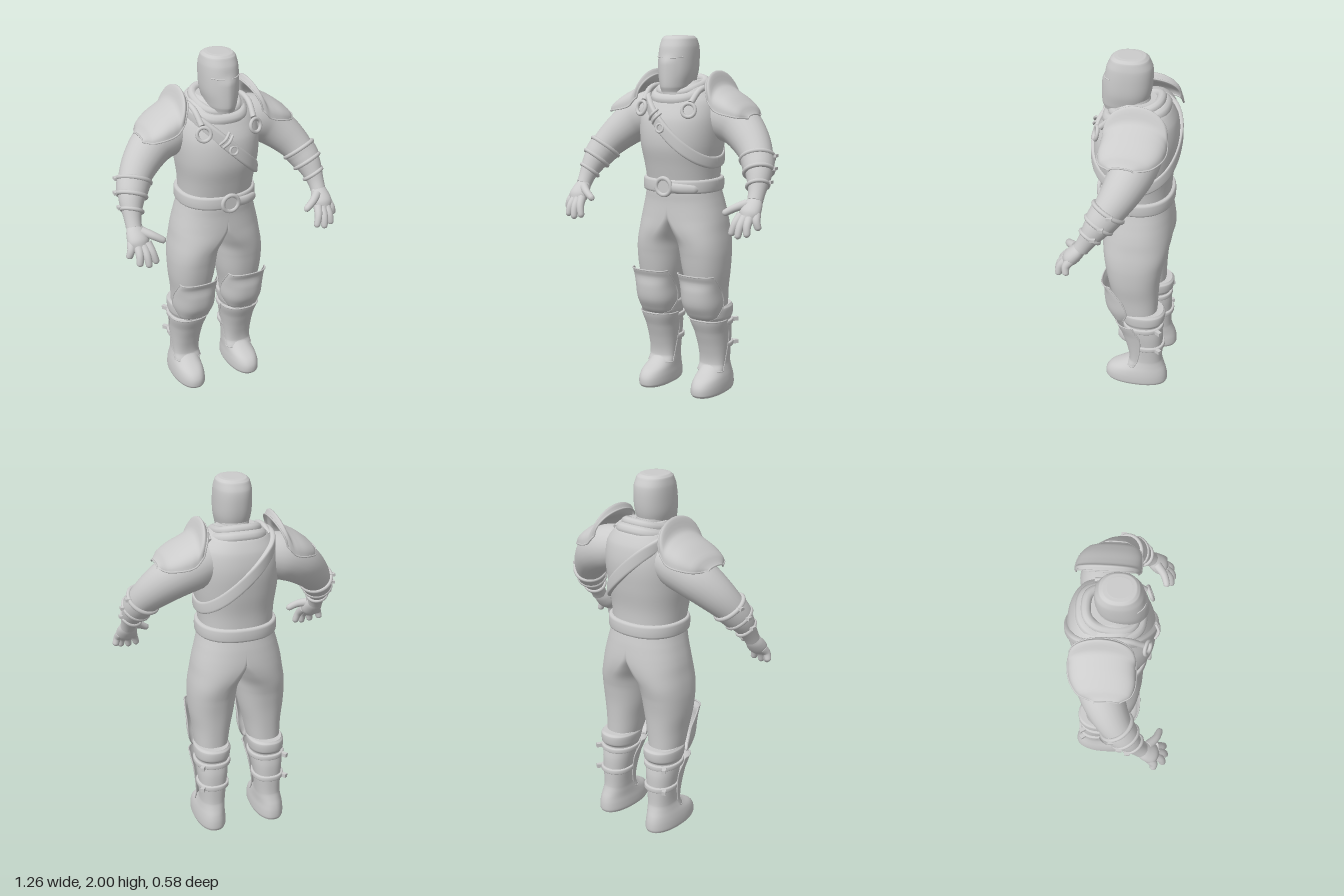
import * as THREE from 'three';

const V = (x, y, z) => new THREE.Vector3(x, y, z);
const pow = (c, e) => Math.sign(c) * Math.abs(c) ** e;
const grey = new THREE.MeshStandardMaterial({ color: 0xcccccc });
const thin = new THREE.MeshStandardMaterial({ color: 0xcccccc, side: THREE.DoubleSide });

// Smooth interpolation of a table of rows; the first column stays linear
function sample(rows, t) {
  const n = rows.length - 1, i = Math.min(Math.floor(t), n - 1), f = t - i;
  const [a, b, c, d] = [rows[Math.max(i - 1, 0)], rows[i], rows[i + 1], rows[Math.min(i + 2, n)]];
  return b.map((p, k) => {
    if (k === 0) return p + (c[0] - p) * f;
    const cubic = 3 * (p - c[k]) + d[k] - a[k];
    const square = 2 * a[k] - 5 * p + 4 * c[k] - d[k];
    return p + 0.5 * f * (c[k] - a[k] + f * (square + f * cubic));
  });
}

// Surface from fn(u, v); closed wraps around u, caps close both ends
function grid(fn, nu, nv, closed = true, caps = closed) {
  const pos = [], idx = [], w = closed ? nu : nu + 1;
  for (let j = 0; j <= nv; j++) for (let i = 0; i < w; i++) pos.push(...fn(i / nu, j / nv).toArray());
  for (let j = 0; j < nv; j++) for (let i = 0; i < nu; i++) {
    const a = j * w + i, b = j * w + (i + 1) % w;
    idx.push(a, a + w, b, b, a + w, b + w);
  }
  if (caps) for (const end of [0, 1]) {
    const s = pos.length / 3, mid = V(0, 0, 0);
    for (let i = 0; i < nu; i++) {
      const p = fn(i / nu, end);
      mid.addScaledVector(p, 1 / nu);
      pos.push(...p.toArray());
    }
    pos.push(...mid.toArray());
    for (let i = 0; i < nu; i++) {
      const k = (i + 1) % nu;
      idx.push(s + nu, s + (end ? k : i), s + (end ? i : k));
    }
  }
  const g = new THREE.BufferGeometry();
  g.setAttribute('position', new THREE.Float32BufferAttribute(pos, 3));
  g.setIndex(idx);
  g.computeVertexNormals();
  return g;
}

// Upright body; rows are [y, centreX, halfWidth, zFront, zBack, optional inner halfWidth]
function bodyPoint([y, cx, hw, zf, zb, inner = hw], a) {
  const c = pow(Math.cos(a), 0.88);
  return V(cx + (c > 0 ? hw : inner) * c, y, (zf + zb) / 2 + (zf - zb) / 2 * pow(Math.sin(a), 0.88));
}
const loft = rows => grid((u, v) => bodyPoint(sample(rows, v * (rows.length - 1)), u * Math.PI * 2), 48, (rows.length - 1) * 5);

// Tapered tube; points are [x, y, z, radius]
function limb(pts, flat = 1) {
  const curve = new THREE.CatmullRomCurve3(pts.map(p => V(p[0], p[1], p[2])));
  const nv = (pts.length - 1) * 6, f = curve.computeFrenetFrames(nv), radii = pts.map(p => [0, p[3]]);
  return grid((u, v) => {
    const k = Math.round(v * nv), t = curve.getUtoTmapping(v), r = sample(radii, t * (pts.length - 1))[1], a = u * Math.PI * 2;
    return curve.getPoint(t).addScaledVector(f.normals[k], r * Math.cos(a)).addScaledVector(f.binormals[k], -r * flat * Math.sin(a));
  }, 24, nv);
}

// Strap hugging a body, its height given as a rule of x
function band(rows, yOf, width, thick) {
  const at = a => {
    let y = yOf(0), p;
    for (let k = 0; k < 40; k++) {
      let i = 0;
      while (i < rows.length - 2 && rows[i + 1][0] < y) i++;
      const t = i + THREE.MathUtils.clamp((y - rows[i][0]) / (rows[i + 1][0] - rows[i][0]), 0, 1);
      p = bodyPoint(sample(rows, t), a);
      y += (yOf(p.x) - y) * 0.5;
    }
    return p;
  };
  return grid((u, v) => {
    const a = v * Math.PI * 2, p = at(a), c = u * Math.PI * 2;
    const T = at(a + 0.03).sub(at(a - 0.03)).normalize();
    const N = V(T.z, 0, -T.x).normalize();
    if (N.dot(V(Math.cos(a), 0, Math.sin(a))) < 0) N.negate();
    const B = T.clone().cross(N).normalize();
    return p.addScaledVector(N, thick * pow(Math.cos(c), 0.5)).addScaledVector(B, -width / 2 * pow(Math.sin(c), 0.5));
  }, 16, 96, true, false);
}

// Rolled edge around an open plate
function rim(fn, r) {
  const pts = [], n = 16;
  for (let i = 0; i < n; i++) pts.push(fn(i / n, 0));
  for (let i = 0; i < n; i++) pts.push(fn(1, i / n));
  for (let i = 0; i < n; i++) pts.push(fn(1 - i / n, 1));
  for (let i = 0; i < n; i++) pts.push(fn(0, 1 - i / n));
  return new THREE.TubeGeometry(new THREE.CatmullRomCurve3(pts, true), 160, r, 6, true);
}

function ringAt(p, dir, r, tube) {
  const g = new THREE.TorusGeometry(r, tube, 10, 32);
  g.applyQuaternion(new THREE.Quaternion().setFromUnitVectors(V(0, 0, 1), dir.clone().normalize()));
  return g.translate(p.x, p.y, p.z);
}

export function createModel() {
  const root = new THREE.Group();
  const add = (name, g, mat = grey) => {
    const m = new THREE.Mesh(g, mat);
    m.name = name;
    root.add(m);
  };
  const pair = (name, g, mat) => {
    add(name + 'Left', g, mat);
    const h = g.clone().scale(-1, 1, 1), ix = h.index.array;
    for (let i = 0; i < ix.length; i += 3) [ix[i], ix[i + 1]] = [ix[i + 1], ix[i]];
    add(name + 'Right', h, mat);
  };
  const plate = (name, fn, r) => {
    pair(name, grid(fn, 28, 24, false), thin);
    pair(name + 'Rim', rim(fn, r));
  };

  // Torso, neck and hood collar
  const torso = [[1.1, 0, 0.195, 0.11, -0.23], [1.18, 0, 0.2, 0.123, -0.24], [1.3, 0, 0.208, 0.15, -0.245], [1.42, 0, 0.225, 0.178, -0.265],
    [1.55, 0, 0.232, 0.17, -0.278], [1.65, 0, 0.215, 0.125, -0.265], [1.72, 0, 0.16, 0.075, -0.23], [1.76, 0, 0.1, 0.03, -0.18]];
  add('torso', loft(torso));
  add('neck', loft([[1.6, 0, 0.1, 0.08, -0.17], [1.7, 0, 0.085, 0.075, -0.14], [1.8, 0, 0.08, 0.07, -0.11]]));
  for (const [name, s, dy, r] of [['collarOuter', 1.06, -0.028, 0.034], ['collarInner', 0.9, 0.008, 0.026]]) {
    const pts = Array.from({ length: 16 }, (_, i) => {
      const a = i * Math.PI / 8;
      return V(0.12 * s * pow(Math.cos(a), 0.75), 1.72 + dy - 0.035 * Math.sin(a), -0.05 + 0.14 * s * pow(Math.sin(a), 0.75));
    });
    add(name, new THREE.TubeGeometry(new THREE.CatmullRomCurve3(pts, true), 64, r, 10, true));
  }

  // Helmet with a flat crown, nose ridge and eye slits
  const helm = [[1.7, 0, 0.07, 0.115, -0.08], [1.73, 0, 0.08, 0.125, -0.1], [1.8, 0, 0.096, 0.126, -0.123], [1.87, 0, 0.1, 0.122, -0.132],
    [1.94, 0, 0.098, 0.11, -0.13], [1.985, 0, 0.088, 0.09, -0.11], [1.998, 0, 0.074, 0.074, -0.092], [2, 0, 0.055, 0.052, -0.07]];
  add('helmet', grid((u, v) => {
    const p = bodyPoint(sample(helm, v * 7), u * Math.PI * 2);
    if (p.z > 0.03 && p.y < 1.9) p.z += 0.012 * Math.max(0, 1 - Math.abs(p.x) / 0.06) * Math.min(1, (1.9 - p.y) / 0.04);
    return p;
  }, 64, 42));
  pair('eyeSlit', limb([[0.022, 1.884, 0.12, 0.003], [0.05, 1.886, 0.111, 0.003], [0.08, 1.888, 0.081, 0.003]]));

  // Belt with round buckle and loose tail
  add('belt', band(torso, () => 1.193, 0.075, 0.022));
  add('buckleRing', ringAt(V(0, 1.193, 0.153), V(0, 0, 1), 0.046, 0.012));
  add('buckleDisc', new THREE.CylinderGeometry(0.04, 0.04, 0.02, 32).rotateX(Math.PI / 2).translate(0, 1.193, 0.145));
  add('beltTail', limb([[0.05, 1.19, 0.145, 0.026], [0.11, 1.186, 0.13, 0.026], [0.165, 1.182, 0.097, 0.022], [0.178, 1.181, 0.085, 0.008]], 0.6));

  // Diagonal sash with its clasp
  add('sash', band(torso, x => 1.52 - 0.95 * x, 0.065, 0.015));
  add('sashClasp', ringAt(V(0, 1.515, 0.19), V(0, 0.2, 1), 0.022, 0.007));
  for (const s of [-0.05, -0.03]) {
    add('sashLoop', limb([[s - 0.025, 1.505 - s, 0.175, 0.007], [s, 1.535 - s, 0.192, 0.008], [s + 0.03, 1.565 - s, 0.175, 0.007]]));
  }

  // Shoulder harness
  pair('harnessRing', ringAt(V(0.15, 1.613, 0.14), V(0.35, 0.25, 1), 0.036, 0.01));
  pair('harnessStrap', limb([[0.15, 1.65, 0.115, 0.016], [0.158, 1.71, 0.045, 0.016], [0.162, 1.725, -0.05, 0.016], [0.165, 1.7, -0.14, 0.016]]));

  // Shoulder plates: [x, top, bottom, halfDepth, centreZ]
  const pad = [[0.178, 1.785, 1.66, 0.16, -0.085], [0.2, 1.815, 1.645, 0.168, -0.083], [0.235, 1.745, 1.615, 0.17, -0.083], [0.28, 1.715, 1.6, 0.17, -0.08],
    [0.34, 1.682, 1.59, 0.16, -0.072], [0.4, 1.638, 1.58, 0.128, -0.062], [0.44, 1.592, 1.575, 0.06, -0.05]];
  plate('shoulderPlate', (u, v) => {
    const [x, top, low, rz, cz] = sample(pad, v * 6), a = u * Math.PI, s = Math.sin(a);
    return V(x + 0.05 * (1 - s) * (1 - v), low + (top - low) * s ** 0.75, cz + rz * Math.cos(a));
  }, 0.005);

  // Arms with bracer sleeve, edge bands and tabs
  const arm = [[0.13, 1.59, -0.1, 0.11], [0.24, 1.565, -0.1, 0.128], [0.335, 1.52, -0.09, 0.12], [0.425, 1.447, -0.05, 0.104],
    [0.49, 1.37, 0.0, 0.086], [0.53, 1.29, 0.055, 0.07], [0.548, 1.21, 0.105, 0.048], [0.553, 1.16, 0.135, 0.042]];
  pair('arm', limb(arm));
  const armRows = arm.map(p => [0, ...p]);
  const armAt = t => sample(armRows, t).slice(1);
  pair('bracer', limb([4.1, 4.35, 4.6, 4.85].map(t => {
    const [x, y, z, r] = armAt(t);
    return [x, y, z, r + 0.008];
  })));
  for (const [t, r, tube] of [[4.08, 0.088, 0.012], [4.85, 0.076, 0.012], [5.65, 0.056, 0.011]]) {
    const [x, y, z] = armAt(t);
    pair('bracerBand', ringAt(V(x, y, z), V(0.04, -0.085, 0.055), r, tube));
    pair('bracerTab', new THREE.BoxGeometry(0.03, 0.016, 0.03).translate(x + r, y + 0.02, z - 0.025));
  }

  // Hands
  pair('palm', limb([[0.552, 1.18, 0.125, 0.036], [0.552, 1.14, 0.155, 0.052], [0.55, 1.1, 0.19, 0.058], [0.548, 1.07, 0.212, 0.04]], 0.75));
  const fingers = [[0.512, 1.095, 0.21, 0.482, 1.0, 0.258], [0.535, 1.085, 0.215, 0.525, 0.99, 0.267],
    [0.562, 1.085, 0.21, 0.572, 1.0, 0.255], [0.588, 1.1, 0.185, 0.612, 1.03, 0.205], [0.525, 1.15, 0.17, 0.425, 1.1, 0.23]];
  for (const [x, y, z, X, Y, Z] of fingers) {
    pair('finger', limb([[x, y, z, 0.025], [(x + X) / 2, (y + Y) / 2 + 0.004, (z + Z) / 2 + 0.012, 0.021],
      [X, Y, Z, 0.017], [X + (X - x) * 0.08, Y + (Y - y) * 0.1, Z, 0.006]]));
  }

  // Legs, each opening upwards into one half of the hips
  pair('leg', loft([[0.4, 0.16, 0.075, -0.02, -0.2, 0.075], [0.5, 0.155, 0.092, 0.02, -0.2, 0.092], [0.6, 0.15, 0.105, 0.055, -0.203, 0.105],
    [0.7, 0.146, 0.123, 0.08, -0.21, 0.123], [0.8, 0.141, 0.132, 0.098, -0.225, 0.131], [0.87, 0.122, 0.146, 0.11, -0.242, 0.12],
    [0.94, 0.07, 0.187, 0.122, -0.258, 0.09], [1.01, 0.02, 0.226, 0.125, -0.264, 0.06], [1.1, 0, 0.224, 0.124, -0.256, 0.06],
    [1.17, 0, 0.206, 0.126, -0.243, 0.06], [1.2, 0, 0.19, 0.11, -0.23, 0.06]]));
  const boot = [[0, 0.175, 0.08, 0.085, -0.262], [0.015, 0.175, 0.086, 0.095, -0.268], [0.055, 0.175, 0.085, 0.092, -0.266], [0.09, 0.174, 0.08, 0.065, -0.258],
    [0.125, 0.17, 0.074, 0.0, -0.245], [0.16, 0.167, 0.07, -0.045, -0.235], [0.25, 0.165, 0.075, -0.06, -0.235], [0.34, 0.163, 0.085, -0.04, -0.235],
    [0.42, 0.16, 0.09, -0.015, -0.225], [0.44, 0.16, 0.097, 0, -0.242], [0.49, 0.158, 0.1, 0.01, -0.246], [0.505, 0.158, 0.09, 0, -0.235]];
  pair('boot', loft(boot));
  for (const y of [0.265, 0.4]) {
    pair('bootStrap', band(boot, () => y, 0.03, 0.014));
    pair('strapTab', new THREE.BoxGeometry(0.022, 0.022, 0.05).rotateY(-0.6).translate(0.238, y, -0.215));
  }

  // Knee and shin plates: [y, centreX, halfWidth, zFront, zBack]
  const front = rows => (u, v) => {
    const [y, cx, hw, zf, zb] = sample(rows, v * (rows.length - 1)), a = u * Math.PI;
    return V(cx + hw * pow(Math.cos(a), 0.85), y, zb + (zf - zb) * Math.sin(a) ** 0.85);
  };
  plate('kneePlate', front([[0.43, 0.155, 0.05, 0.02, 0], [0.45, 0.153, 0.09, 0.05, -0.015], [0.52, 0.15, 0.119, 0.09, -0.04],
    [0.6, 0.15, 0.121, 0.102, -0.02], [0.66, 0.15, 0.118, 0.1, 0.025], [0.7, 0.15, 0.113, 0.114, 0.055]]), 0.004);
  plate('shinPlate', front([[0.125, 0.168, 0.08, -0.03, -0.08], [0.165, 0.168, 0.078, -0.045, -0.1], [0.25, 0.167, 0.086, -0.03, -0.115],
    [0.35, 0.164, 0.1, 0.003, -0.115], [0.43, 0.162, 0.112, 0.034, -0.075]]), 0.004);
  return root;
}
